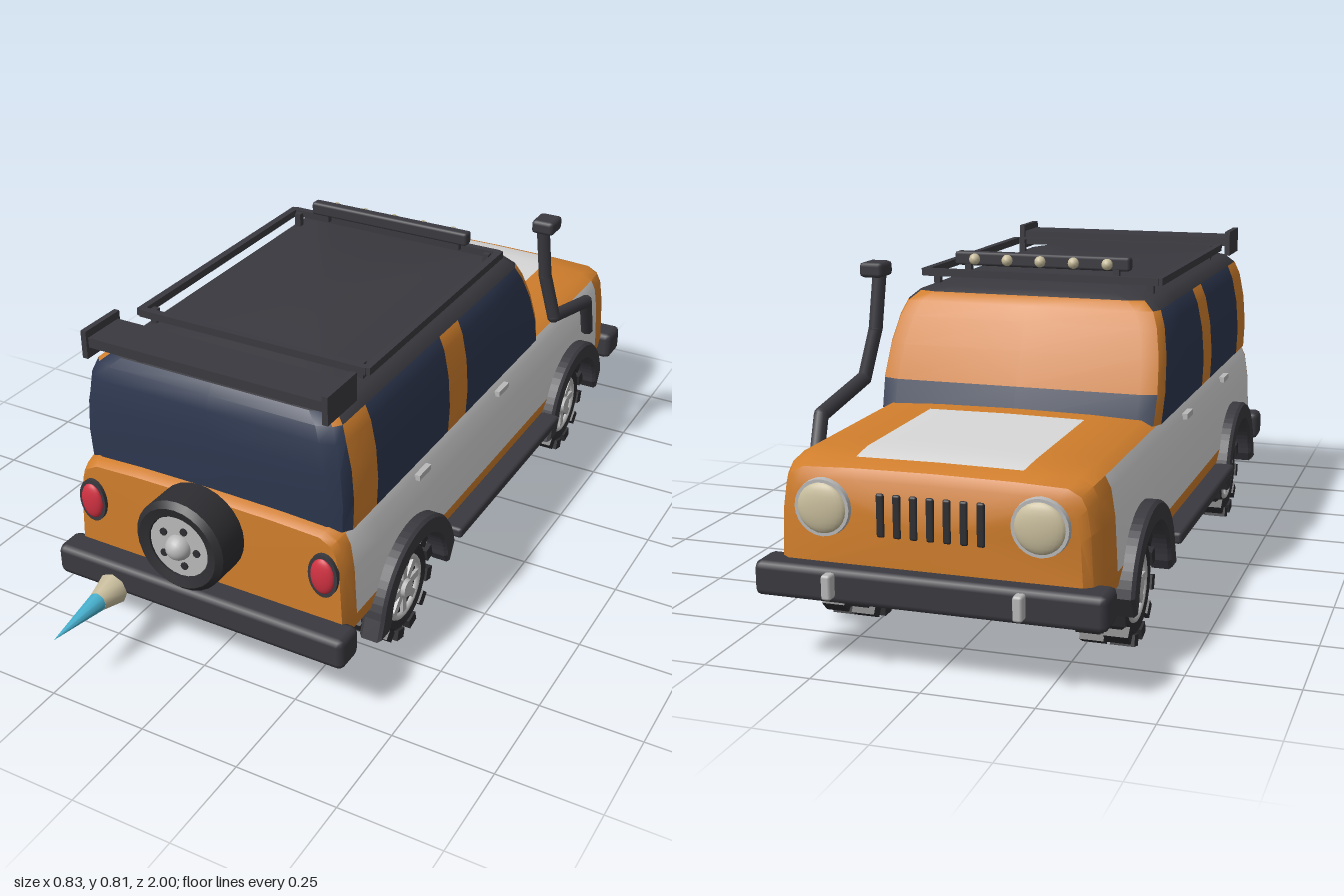
import * as THREE from 'three';
import { toCreasedNormals } from 'three/addons/utils/BufferGeometryUtils.js';
import { RoundedBoxGeometry } from 'three/addons/geometries/RoundedBoxGeometry.js';

const V = (x, y, z) => new THREE.Vector3(x, y, z);
const paint = (name, color) => Object.assign(new THREE.MeshStandardMaterial({ color }), { name });

export function createModel() {
  const orange = paint('orange paint', 0xd07e2c), white = paint('white paint', 0xd8d8d8);
  const black = paint('black plastic', 0x3a393f), rubber = paint('tyre rubber', 0x2e2e32);
  const glass = paint('navy glass', 0x2d374f), silver = paint('silver', 0xb9b9b9);
  const beige = paint('beige lens', 0xc9be9d), red = paint('red lens', 0xd23242), blue = paint('blue flame', 0x48b2d0);
  const model = new THREE.Group();

  function add(parent, name, geo, mat, x = 0, y = 0, z = 0) {
    const m = new THREE.Mesh(geo, mat);
    m.name = name;
    m.position.set(x, y, z);
    parent.add(m);
    return m;
  }
  const box = (w, h, d) => new THREE.BoxGeometry(w, h, d);
  const cyl = (r1, r2, h, n = 24) => new THREE.CylinderGeometry(r1, r2, h, n);
  function rod(name, a, b, r, mat, sides = 8) {
    const m = add(model, name, cyl(r, r, a.distanceTo(b), sides), mat);
    m.position.copy(a).add(b).multiplyScalar(0.5);
    m.quaternion.setFromUnitVectors(V(0, 1, 0), b.clone().sub(a).normalize());
  }

  // Skins rows of half rings, mirrored in x; pick(i, k) gives the paint of each panel
  function skin(name, halfRows, pick) {
    const n = halfRows[0].length, count = 2 * n - 2;
    const rows = halfRows.map(h => [...h, ...h.slice(1, -1).reverse().map(p => V(-p.x, p.y, p.z))]);
    const byMat = new Map();
    for (let i = 0; i < rows.length - 1; i++) for (let j = 0; j < count; j++) {
      const mat = pick(i, j < n - 1 ? j : count - 1 - j), q = (j + 1) % count;
      const a = rows[i][j], b = rows[i][q], c = rows[i + 1][q], d = rows[i + 1][j];
      if (!byMat.has(mat)) byMat.set(mat, []);
      for (const t of [[a, b, c], [a, c, d]])
        if (new THREE.Triangle(...t).getArea() > 1e-8) t.forEach(p => byMat.get(mat).push(p.x, p.y, p.z));
    }
    const geo = new THREE.BufferGeometry(), all = [], mats = [...byMat.keys()];
    mats.forEach((m, i) => {
      geo.addGroup(all.length / 3, byMat.get(m).length / 3, i);
      for (const value of byMat.get(m)) all.push(value);
    });
    geo.setAttribute('position', new THREE.Float32BufferAttribute(all, 3));
    add(model, name, toCreasedNormals(geo, 0.6), mats);
  }

  // Lower body: stations along z (z, width scale, height scale), with wheel arches cut out
  const axles = [-0.6, 0.41], axleY = 0.137, archR = 0.155;
  const profile = [[0, 0.2], [0.362, 0.2], [0.368, 0.24], [0.362, 0.36], [0.353, 0.42], [0.34, 0.447],
    [0.31, 0.464], [0.19, 0.469], [0, 0.471]];
  const keys = [[-0.925, 0.89, 0.83], [-0.912, 0.94, 0.91], [-0.875, 0.98, 0.965], [-0.81, 1, 0.99],
    [-0.455, 1, 1], [0.67, 1, 1], [0.7, 0.985, 0.98], [0.715, 0.965, 0.94]];
  const zs = keys.map(k => k[0]);
  for (const a of axles) for (const f of [-0.92, -0.75, -0.4, 0, 0.4, 0.75, 0.92]) zs.push(a + f * archR);
  zs.sort((a, b) => a - b);
  const station = z => {
    const i = Math.max(1, keys.findIndex(k => k[0] >= z)), [p, q] = [keys[i - 1], keys[i]];
    const t = (z - p[0]) / (q[0] - p[0]), sx = p[1] + (q[1] - p[1]) * t, sy = p[2] + (q[2] - p[2]) * t;
    const arch = Math.max(...axles.map(a => axleY + Math.sqrt(Math.max(0, archR ** 2 - (z - a) ** 2))));
    return profile.map(([x, y]) => V(x * sx, Math.max(0.2 + (y - 0.2) * sy, arch), z));
  };
  const cap = z => profile.map(() => V(0, 0.32, z));
  const bodyRows = [cap(-0.928), ...zs.map(station), cap(0.717)];
  skin('body', bodyRows, (i, k) => {
    if (i === 0 || i === bodyRows.length - 2) return orange;
    const z = (bodyRows[i][0].z + bodyRows[i + 1][0].z) / 2;
    if (k === 0) return black;
    if (k >= 2 && k <= 4 && z > -0.81 && z < 0.67) return white;
    return k === 7 && z > -0.875 && z < -0.455 ? white : orange;
  });
  add(model, 'underbody', box(0.48, 0.13, 1.56), black, 0, 0.255, -0.09);

  // Cabin: layers upward (y, half width, rear z, front z)
  const layers = [[0.45, 0.35, 0.688, -0.408], [0.52, 0.353, 0.69, -0.385], [0.6, 0.347, 0.69, -0.352],
    [0.665, 0.334, 0.685, -0.322], [0.7, 0.32, 0.675, -0.303], [0.722, 0.295, 0.658, -0.285], [0.733, 0.25, 0.62, -0.25]];
  const cabinRows = layers.map(([y, w, r, f]) => [[0, r], [w - 0.05, r], [w - 0.015, r - 0.012], [w, Math.min(r - 0.03, 0.655)],
    [w, 0.545], [w, 0.18], [w, 0.08], [w, -0.1], [w, f + 0.04], [w - 0.012, f + 0.012], [w - 0.05, f], [0, f]]
    .map(([x, z]) => V(x, y, z)));
  cabinRows.push(cabinRows[0].map(() => V(0, 0.737, 0.18)));
  skin('cabin', cabinRows, (i, k) => {
    if (i > 4) return black;
    if (k >= 9) return i === 0 ? glass : orange;
    if (k <= 2) return i === 4 && k === 2 ? orange : glass;
    if (i > 3) return black;
    return k === 3 || k === 5 || k === 8 ? orange : glass;
  });

  // Wheel with its axle along y, outer side up
  function wheel(name, radius, chunky) {
    const g = new THREE.Group();
    g.name = name;
    const tyre = [[0.08, -0.048], [0.104, -0.055], [0.118, -0.042], [0.118, 0.042], [0.104, 0.055], [0.08, 0.048], [0.08, -0.048]]
      .map(([r, y]) => new THREE.Vector2(r * radius / 0.118, y));
    add(g, 'tyre', toCreasedNormals(new THREE.LatheGeometry(tyre, 28), 0.5), rubber);
    if (chunky) {
      for (let i = 0; i < 24; i++) {
        const a = i * Math.PI / 12, s = i % 2 ? 1 : -1;
        add(g, 'treadBlock', box(0.034, 0.056, 0.026), rubber, Math.sin(a) * 0.121, s * 0.031, Math.cos(a) * 0.121).rotation.y = a;
      }
      add(g, 'rim', cyl(0.084, 0.084, 0.08), silver);
      add(g, 'rimRecess', cyl(0.072, 0.072, 0.006), rubber, 0, 0.041);
      for (let i = 0; i < 8; i++) {
        const a = i * Math.PI / 4;
        add(g, 'spoke', box(0.02, 0.014, 0.06), silver, Math.sin(a) * 0.046, 0.045, Math.cos(a) * 0.046).rotation.y = a;
      }
      add(g, 'rimLip', new THREE.TorusGeometry(0.077, 0.009, 6, 28).rotateX(Math.PI / 2), silver, 0, 0.046);
      add(g, 'hub', cyl(0.022, 0.027, 0.022, 12), silver, 0, 0.051);
    } else {
      add(g, 'rim', cyl(0.076, 0.076, 0.09), silver);
      add(g, 'hub', new THREE.SphereGeometry(0.031, 20, 12), silver, 0, 0.045);
      for (let i = 0; i < 5; i++) {
        const a = i * Math.PI * 0.4 + 0.28;
        add(g, 'bolt', cyl(0.009, 0.009, 0.008, 8), rubber, Math.sin(a) * 0.048, 0.046, Math.cos(a) * 0.048);
      }
    }
    model.add(g);
    return g;
  }
  const flare = new THREE.Shape();
  flare.moveTo(0.2, -0.005).absarc(0, 0, 0.188, 0.2, Math.PI - 0.2);
  flare.lineTo(-0.2, -0.005).lineTo(-0.16, -0.005).absarc(0, 0, 0.15, Math.PI - 0.1, 0.1, true).lineTo(0.16, -0.005);
  const flareGeo = new THREE.ExtrudeGeometry(flare, { depth: 0.04, bevelSize: 0.006, bevelThickness: 0.008, bevelSegments: 1, curveSegments: 14 });
  flareGeo.translate(0, 0, -0.02).rotateY(Math.PI / 2);
  const spare = wheel('spareWheel', 0.115, false);
  spare.position.set(0, 0.386, 0.772);
  spare.rotation.x = Math.PI / 2;
  rod('spareMount', V(0, 0.386, 0.7), V(0, 0.386, 0.74), 0.05, black, 16);

  for (const s of [-1, 1]) {
    // Wheels and flares
    for (const z of axles) {
      const w = wheel('wheel', 0.118, true);
      w.position.set(s * 0.305, axleY, z);
      w.rotation.z = -s * Math.PI / 2;
      add(model, 'fenderFlare', flareGeo, black, s * 0.371, axleY, z);
    }
    // Side steps and door handles
    add(model, 'sideStep', new RoundedBoxGeometry(0.055, 0.028, 0.64, 1, 0.008), black, s * 0.387, 0.193, -0.1);
    for (const z of [0.33, -0.125])
      add(model, 'doorHandle', box(0.014, 0.014, 0.06), silver, s * 0.358, 0.42, z);
    // Front and rear lights
    const ring = add(model, 'headlightRing', cyl(0.062, 0.066, 0.03), silver, s * 0.24, 0.36, -0.922);
    ring.rotation.x = -Math.PI / 2;
    add(model, 'headlight', new THREE.SphereGeometry(0.056, 24, 12).scale(1, 1, 0.3), beige, s * 0.24, 0.36, -0.934);
    add(model, 'tailLightRim', cyl(1, 1, 0.024, 28).rotateX(Math.PI / 2).scale(0.037, 0.056, 1), black, s * 0.312, 0.356, 0.713);
    add(model, 'tailLight', new THREE.SphereGeometry(1, 24, 14).scale(0.03, 0.046, 0.014), red, s * 0.312, 0.356, 0.724);
    // Tow hooks, roof rails and rear wing ends
    add(model, 'towHook', new RoundedBoxGeometry(0.022, 0.055, 0.03, 1, 0.006), silver, s * 0.21, 0.205, -0.98);
    add(model, 'roofRail', box(0.018, 0.018, 0.71), black, s * 0.3, 0.757, 0.15);
    for (const z of [-0.18, 0.48]) add(model, 'railFoot', box(0.016, 0.05, 0.016), black, s * 0.275, 0.738, z);
    add(model, 'wingEnd', box(0.014, 0.068, 0.125), black, s * 0.31, 0.759, 0.64);
    add(model, 'wingPost', box(0.018, 0.045, 0.03), black, s * 0.195, 0.737, 0.64);
  }

  // Bumpers
  add(model, 'rearBumper', new RoundedBoxGeometry(0.78, 0.078, 0.08, 1, 0.016), black, 0, 0.195, 0.738);
  add(model, 'frontBumper', new RoundedBoxGeometry(0.78, 0.078, 0.09, 1, 0.016), black, 0, 0.2, -0.925);
  // Grille slots
  for (let i = -3; i <= 3; i++)
    add(model, 'grilleSlot', new RoundedBoxGeometry(0.018, 0.095, 0.012, 2, 0.005), rubber, i * 0.037, 0.352, -0.925);

  // Rear wing, rack crossbars and lamp bar
  add(model, 'wingBlade', box(0.61, 0.024, 0.11), black, 0, 0.763, 0.64);
  for (const z of [-0.2, 0.5]) add(model, 'rackCrossbar', box(0.6, 0.018, 0.018), black, 0, 0.757, z);
  add(model, 'lampBar', new RoundedBoxGeometry(0.45, 0.034, 0.032, 1, 0.007), black, 0, 0.793, -0.178);
  for (const x of [-0.19, 0.19]) add(model, 'lampBarFoot', box(0.016, 0.03, 0.016), black, x, 0.77, -0.185);
  for (let i = -2; i <= 2; i++)
    add(model, 'roofLamp', new THREE.SphereGeometry(0.014, 12, 8), beige, i * 0.085, 0.793, -0.199);

  // Snorkel
  const path = [V(0.385, 0.355, -0.675), V(0.397, 0.475, -0.61), V(0.385, 0.52, -0.395), V(0.36, 0.64, -0.378), V(0.352, 0.77, -0.365)];
  path.slice(1).forEach((p, i) => {
    rod('snorkelPipe', path[i], p, 0.018, black);
    add(model, 'snorkelJoint', new THREE.SphereGeometry(0.0185, 8, 6), black, p.x, p.y, p.z);
  });
  add(model, 'snorkelHead', new RoundedBoxGeometry(0.06, 0.036, 0.07, 1, 0.01), black, 0.355, 0.785, -0.378);

  // Exhaust with flame
  rod('exhaustPipe', V(-0.23, 0.165, 0.6), V(-0.23, 0.165, 0.79), 0.02, silver, 12);
  add(model, 'exhaustNozzle', cyl(0.024, 0.04, 0.06, 8).rotateX(Math.PI / 2), beige, -0.23, 0.165, 0.808);
  add(model, 'flame', new THREE.ConeGeometry(0.026, 0.18, 8).rotateX(Math.PI / 2), blue, -0.23, 0.165, 0.91);
  return model;
}
